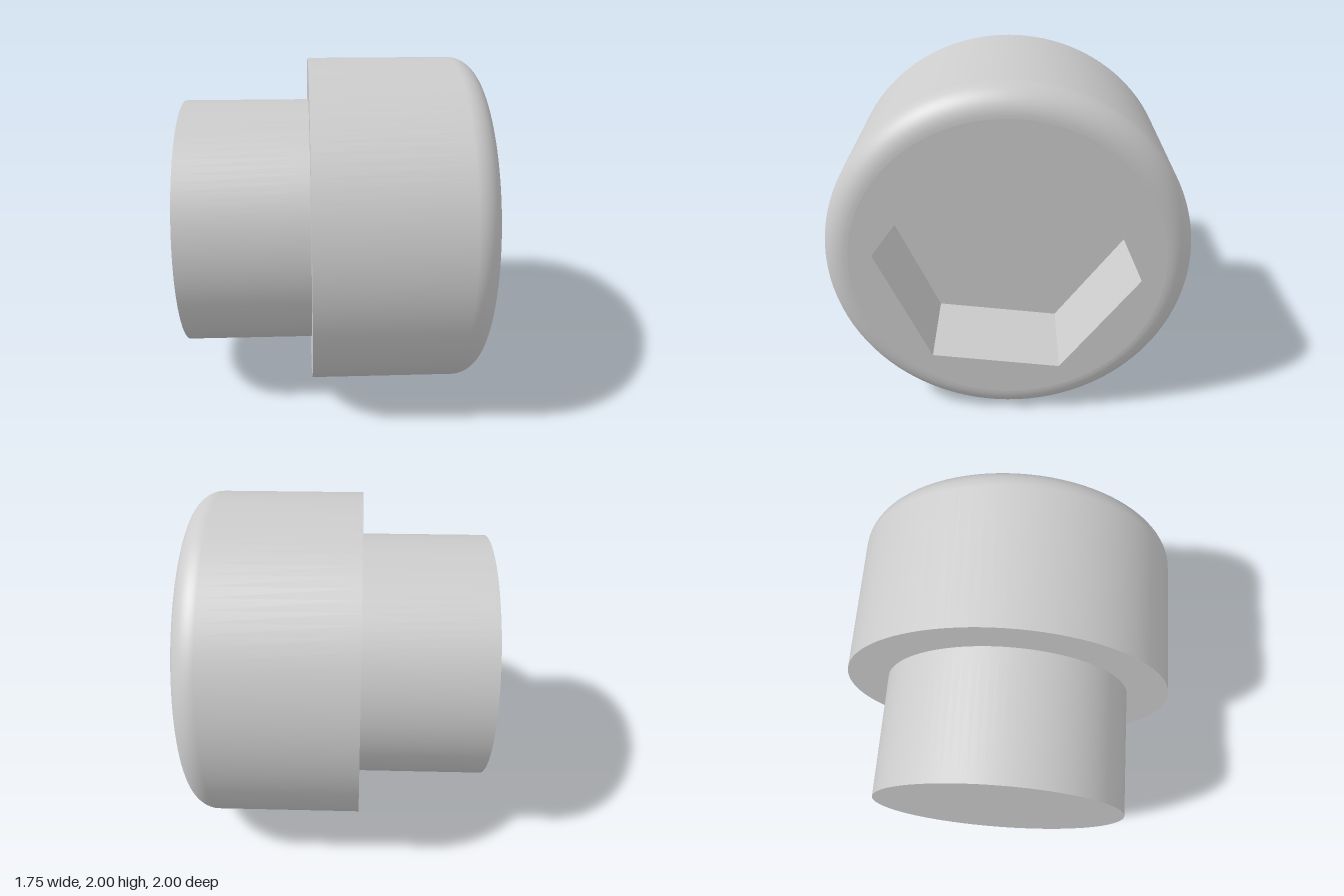
import * as THREE from 'three';
import { mergeGeometries } from 'three/addons/utils/BufferGeometryUtils.js';

const SEGMENTS = 96;
const END = -0.875, SEAT = -0.125, FACE = 0.875; // stations along the axis
const SHANK_R = 0.75, HEAD_R = 1, FILLET = 0.15;
const HEX_R = 0.725, HEX_TURN = -0.105, HEX_DEPTH = 0.5;

export function createModel() {
  const model = new THREE.Group();
  model.name = 'socketHeadBolt';
  const material = new THREE.MeshStandardMaterial({ color: 0xcccccc });

  // Parts are built along local z, then the axis is laid along x
  const bolt = new THREE.Group();
  bolt.name = 'bolt';
  bolt.rotation.y = Math.PI / 2;
  bolt.position.y = 1;
  model.add(bolt);

  const add = (name, geometry) => {
    const mesh = new THREE.Mesh(geometry, material);
    mesh.name = name;
    bolt.add(mesh);
  };
  // Each lathe piece is separate so the edges between them stay sharp
  const turn = (points) => new THREE.LatheGeometry(
    points.map(([r, a]) => new THREE.Vector2(r, a)), SEGMENTS).rotateX(Math.PI / 2);

  // Shank
  add('shankEnd', turn([[0, END], [SHANK_R, END]]));
  add('shank', turn([[SHANK_R, END], [SHANK_R, SEAT]]));

  // Head with a rounded front rim
  add('headUnderside', turn([[SHANK_R, SEAT], [HEAD_R, SEAT]]));
  const profile = [[HEAD_R, SEAT]];
  for (let i = 0; i <= 12; i++) {
    const t = (i / 12) * Math.PI / 2;
    profile.push([HEAD_R - FILLET + FILLET * Math.cos(t), FACE - FILLET + FILLET * Math.sin(t)]);
  }
  add('headSide', turn(profile));

  // Front face around the hexagonal opening
  const face = new THREE.Shape().absarc(0, 0, HEAD_R - FILLET, 0, Math.PI * 2);
  const hex = [];
  for (let i = 0; i < 6; i++) {
    const a = HEX_TURN + i * Math.PI / 3;
    hex.push(new THREE.Vector2(HEX_R * Math.cos(a), HEX_R * Math.sin(a)));
  }
  face.holes.push(new THREE.Path(hex));
  add('headFace', new THREE.ShapeGeometry(face, SEGMENTS / 2).translate(0, 0, FACE));

  // Hexagonal socket: six inward walls and a floor
  const walls = [];
  for (let i = 0; i < 6; i++) {
    walls.push(new THREE.PlaneGeometry(HEX_DEPTH, HEX_R)
      .rotateY(-Math.PI / 2)
      .translate(HEX_R * Math.cos(Math.PI / 6), 0, FACE - HEX_DEPTH / 2)
      .rotateZ(HEX_TURN + (i + 0.5) * Math.PI / 3));
  }
  add('socketWalls', mergeGeometries(walls));
  add('socketFloor', new THREE.CircleGeometry(HEX_R, 6, HEX_TURN).translate(0, 0, FACE - HEX_DEPTH));

  return model;
}
